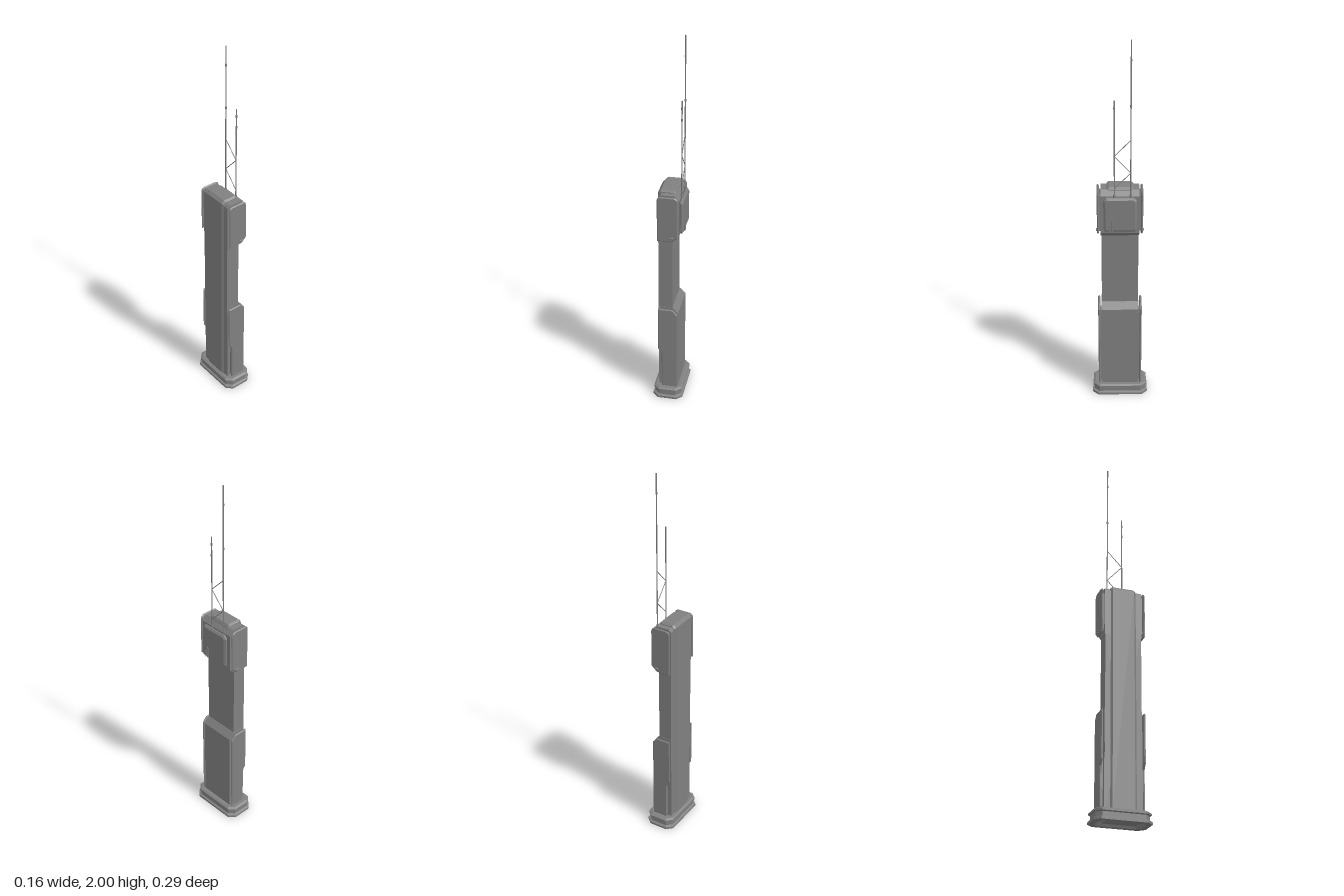
import * as THREE from 'three';

const gray = new THREE.MeshStandardMaterial({ color: 0x808080 });
gray.name = 'gray metal';

function add(group, name, geometry, x = 0, y = 0, z = 0) {
  const mesh = new THREE.Mesh(geometry, gray);
  mesh.name = name;
  mesh.position.set(x, y, z);
  group.add(mesh);
  return mesh;
}

const box = (w, h, d) => new THREE.BoxGeometry(w, h, d);

// Side profile in x,y extruded from z0 to z1 with a chamfer of the given width and depth
function slab(points, z0, z1, width = 0, depth = width) {
  const shape = new THREE.Shape(points.map(([x, y]) => new THREE.Vector2(x, y)));
  const geometry = new THREE.ExtrudeGeometry(shape, {
    depth: z1 - z0 - 2 * depth, bevelEnabled: width > 0, bevelSize: width,
    bevelThickness: depth, bevelOffset: -width, bevelSegments: 1,
  });
  return geometry.translate(0, 0, z0 + depth);
}

// Octagonal cross-sections [y, halfX, halfZ, chamfer] joined from first to last, both ends capped
function octagonStack(sections) {
  const rings = sections.map(([y, a, b, c]) => [
    [a, b - c], [a, c - b], [a - c, -b], [c - a, -b], [-a, c - b], [-a, b - c], [c - a, b], [a - c, b],
  ].map(([x, z]) => [x, y, z]));
  const out = [];
  for (let i = 0; i + 1 < rings.length; i++) {
    for (let j = 0; j < 8; j++) {
      const k = (j + 1) % 8, lo = rings[i], hi = rings[i + 1];
      out.push(...lo[j], ...lo[k], ...hi[k], ...lo[j], ...hi[k], ...hi[j]);
    }
  }
  const first = rings[0], last = rings[rings.length - 1];
  for (let j = 1; j < 7; j++) {
    out.push(...first[0], ...first[j + 1], ...first[j], ...last[0], ...last[j], ...last[j + 1]);
  }
  const geometry = new THREE.BufferGeometry();
  geometry.setAttribute('position', new THREE.Float32BufferAttribute(out, 3));
  geometry.computeVertexNormals();
  return geometry;
}

// Thin rod between two points
function rod(group, name, a, b, radius) {
  const from = new THREE.Vector3(...a), to = new THREE.Vector3(...b);
  const mesh = add(group, name, new THREE.CylinderGeometry(radius, radius, from.distanceTo(to), 8));
  mesh.position.copy(from).lerp(to, 0.5);
  mesh.quaternion.setFromUnitVectors(new THREE.Vector3(0, 1, 0), to.sub(from).normalize());
}

export function createModel() {
  const model = new THREE.Group();
  model.name = 'tower';

  // Flanged foot with a recessed underside
  add(model, 'base', octagonStack([
    [0.02, 0.045, 0.11, 0.02], [0, 0.055, 0.12, 0.022],
    [0, 0.08, 0.147, 0.03], [0.012, 0.08, 0.147, 0.03],
    [0.017, 0.07, 0.136, 0.027], [0.04, 0.07, 0.136, 0.027],
    [0.044, 0.077, 0.143, 0.03], [0.054, 0.077, 0.143, 0.03], [0.06, 0.068, 0.132, 0.027],
  ]));
  add(model, 'undersidePanel', box(0.06, 0.014, 0.17), 0, 0.014, 0);

  // Column and thicker lower body
  add(model, 'column', box(0.073, 0.92, 0.19), -0.0165, 0.51, 0);
  add(model, 'lowerBody', slab(
    [[-0.052, 0.055], [0.05, 0.055], [0.05, 0.525], [0.022, 0.56], [-0.052, 0.56]], -0.097, 0.097));

  // Back rib running up and over the roof
  add(model, 'backRib', slab([
    [-0.06, 0.055], [-0.03, 0.055], [-0.03, 1.19], [0.034, 1.19], [0.034, 1.216],
    [0.025, 1.23], [-0.045, 1.23], [-0.06, 1.215],
  ], -0.068, 0.068, 0.008, 0.011));

  // Head
  add(model, 'head', slab([
    [-0.053, 0.955], [0.022, 0.955], [0.052, 0.985], [0.052, 1.19],
    [0.03, 1.218], [-0.04, 1.218], [-0.053, 1.205],
  ], -0.098, 0.098));

  // Side plates on both ends, held off by brackets
  for (const side of [1, -1]) {
    const sides = new THREE.Group();
    sides.name = side > 0 ? 'frontPlates' : 'rearPlates';
    if (side < 0) sides.rotation.y = Math.PI;
    const place = (points) => points.map(([x, y]) => [x * side, y]);
    const order = (points) => (side > 0 ? points : place(points).reverse());
    add(sides, 'headPlate', slab(order([
      [-0.056, 0.965], [0.022, 0.965], [0.053, 0.992], [0.053, 1.195], [0.047, 1.208],
      [0.034, 1.217], [-0.04, 1.217], [-0.051, 1.21], [-0.056, 1.2],
    ]), 0.106, 0.117, 0.005));
    add(sides, 'lowerPlate', slab(order([
      [-0.035, 0.058], [0.05, 0.058], [0.05, 0.525], [0.024, 0.553], [-0.054, 0.553],
      [-0.054, 0.3], [-0.035, 0.27],
    ]), 0.104, 0.115, 0.004));
    for (const x of [-0.034, 0.031]) {
      add(sides, 'headBracket', box(0.014, 0.2, 0.014), x * side, 1.09, 0.102);
      add(sides, 'lowerBracket', box(0.014, 0.43, 0.014), (x < 0 ? -0.025 : x) * side, 0.285, 0.1);
    }
    const bolt = new THREE.CapsuleGeometry(0.005, 0.01, 4, 10).rotateZ(Math.PI / 2);
    add(sides, 'plateBolt', bolt, 0.019 * side, 0.988, 0.118);
    model.add(sides);
  }

  // Chamfered equipment panel on the left face of the head
  const panel = slab([
    [-0.084, 1.01], [-0.074, 1.0], [0.074, 1.0], [0.084, 1.01],
    [0.084, 1.172], [0.07, 1.187], [-0.07, 1.187], [-0.084, 1.172],
  ], 0, 0.022, 0.01, 0.007);
  add(model, 'sidePanel', panel.rotateY(Math.PI / 2), 0.051, 0, 0);
  for (const [z, height] of [[0.053, 0.035], [0.039, 0.06]]) {
    add(model, 'panelPin', new THREE.CylinderGeometry(0.004, 0.004, height, 8), 0.075, 1.007 + height / 2, z);
  }

  // Two masts with collars and zigzag bracing
  const near = 0.028, far = -0.053, mastX = 0.054;
  for (const [z, top, collars] of [[near, 1.7, [1.6, 1.66]], [far, 2, [1.67, 1.9]]]) {
    rod(model, 'mast', [mastX, 1.15, z], [mastX, top, z], 0.003);
    rod(model, 'mastSocket', [mastX, 1.16, z], [mastX, 1.2, z], 0.006);
    for (const y of collars) rod(model, 'mastCollar', [mastX, y - 0.006, z], [mastX, y + 0.006, z], 0.0045);
  }
  const zigzag = [[near, 1.235], [far, 1.32], [near, 1.41], [far, 1.495]];
  for (let i = 0; i < 3; i++) {
    const [[z0, y0], [z1, y1]] = [zigzag[i], zigzag[i + 1]];
    rod(model, 'mastBrace', [mastX, y0, z0], [mastX, y1, z1], 0.002);
  }
  return model;
}
